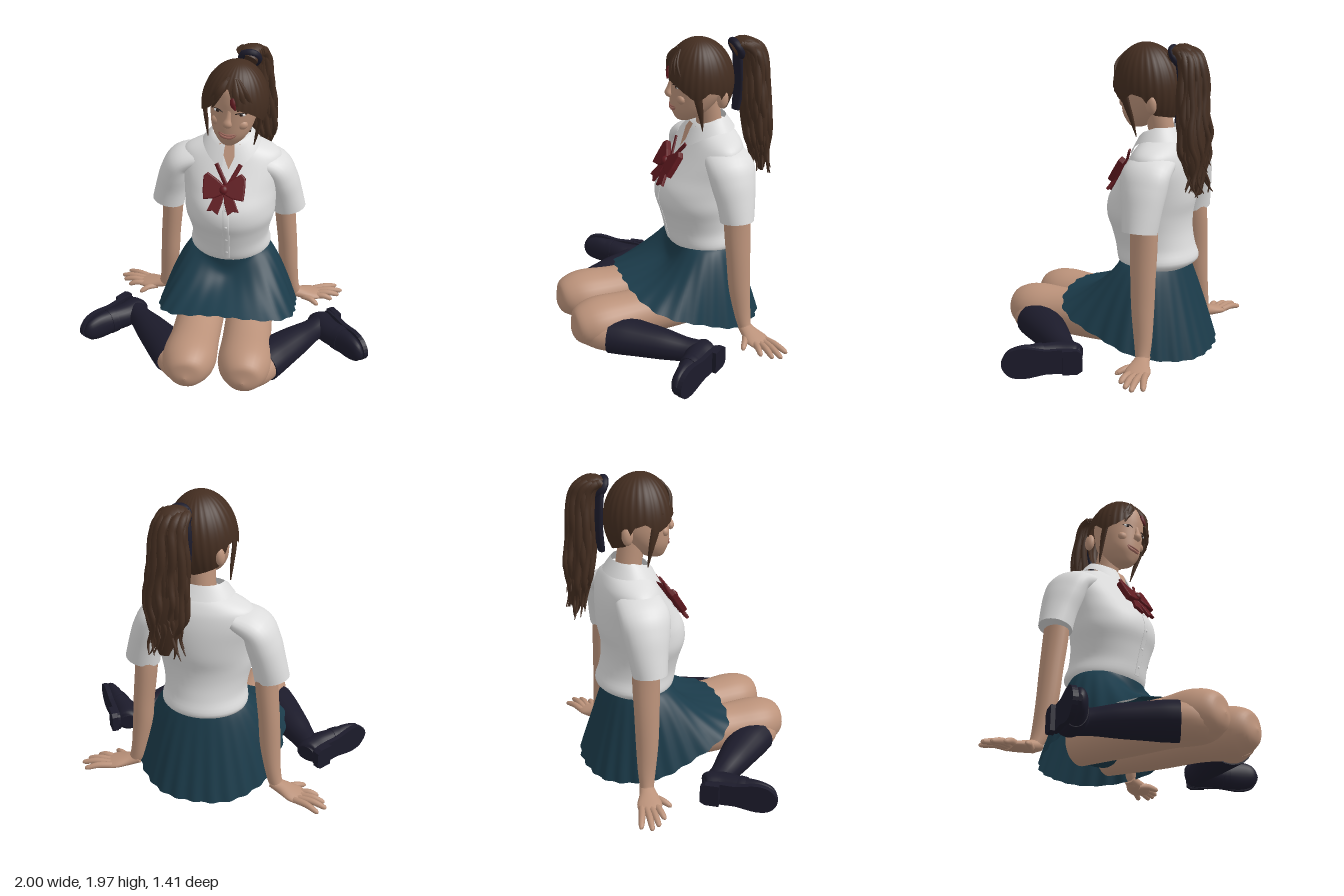
import * as THREE from 'three';

const mat = (name, color, side = THREE.FrontSide) => {
  const m = new THREE.MeshStandardMaterial({ color, side });
  m.name = name;
  return m;
};
const V = (x, y, z) => new THREE.Vector3(x, y, z);

// Catmull-Rom interpolation through equally long rows of numbers, t in 0..1
function sample(rows, t) {
  const f = t * (rows.length - 1), i = Math.min(Math.floor(f), rows.length - 2), u = f - i;
  const row = (k) => rows[Math.max(0, Math.min(rows.length - 1, k))];
  const [a, b, c, d] = [row(i - 1), row(i), row(i + 1), row(i + 2)];
  return b.map((p, k) => p + 0.5 * u * (c[k] - a[k]
    + u * (2 * a[k] - 5 * p + 4 * c[k] - d[k] + u * (3 * (p - c[k]) + d[k] - a[k]))));
}

// Skin a list of point rings; optionally wrap around and cap both ends
function loft(rings, wrap = true, caps = true) {
  const n = rings[0].length, pos = [], idx = [];
  rings.forEach((r) => r.forEach((p) => pos.push(p.x, p.y, p.z)));
  for (let i = 0; i < rings.length - 1; i++) {
    for (let j = 0; j < (wrap ? n : n - 1); j++) {
      const a = i * n + j, b = i * n + (j + 1) % n;
      idx.push(a, b, a + n, b, b + n, a + n);
    }
  }
  if (caps) [rings[0], rings[rings.length - 1]].forEach((r, end) => {
    const base = pos.length / 3, c = V(0, 0, 0);
    r.forEach((p) => { c.addScaledVector(p, 1 / n); pos.push(p.x, p.y, p.z); });
    pos.push(c.x, c.y, c.z);
    for (let j = 0; j < n; j++) {
      const a = base + j, b = base + (j + 1) % n;
      idx.push(...(end ? [a, b, base + n] : [b, a, base + n]));
    }
  });
  const g = new THREE.BufferGeometry();
  g.setAttribute('position', new THREE.Float32BufferAttribute(pos, 3));
  g.setIndex(idx);
  g.computeVertexNormals();
  return g;
}

// Horizontal rings, bottom up: [y, halfWidth, zFront, zBack]
function body(rows, steps = 40, n = 40) {
  return loft(Array.from({ length: steps + 1 }, (_, i) => {
    const [y, rx, f, b] = sample(rows, i / steps);
    return Array.from({ length: n }, (_, j) => {
      const a = j / n * Math.PI * 2;
      return V(rx * Math.sin(a), y, (f + b) / 2 + (f - b) / 2 * Math.cos(a));
    });
  }));
}

// Tapered limb along [x, y, z, radiusA, radiusB = radiusA]; ref x tangent is the A direction
function limb(points, ref = V(0, 1, 0), n = 20, steps = (points.length - 1) * 5) {
  const rows = points.map(([x, y, z, a, b = a]) => [x, y, z, a, b]);
  const at = (t) => V(...sample(rows, Math.max(0, Math.min(1, t))));
  return loft(Array.from({ length: steps + 1 }, (_, i) => {
    const t = i / steps, [x, y, z, ra, rb] = sample(rows, t);
    const T = at(t + 0.01).sub(at(t - 0.01)).normalize();
    const N = ref.clone().cross(T).normalize(), B = T.clone().cross(N);
    return Array.from({ length: n }, (_, j) => {
      const a = j / n * Math.PI * 2;
      return V(x, y, z).addScaledVector(N, ra * Math.cos(a)).addScaledVector(B, rb * Math.sin(a));
    });
  }));
}

// Copy across x = 0 with the corner order restored
function mirrored(geo) {
  const g = geo.index ? geo.toNonIndexed() : geo.clone();
  g.scale(-1, 1, 1);
  g.setIndex(Array.from({ length: g.attributes.position.count }, (_, i) => i - i % 3 + [0, 2, 1][i % 3]));
  return g;
}
const ball = (x, y, z, a, b, c) => new THREE.SphereGeometry(1, 20, 14).scale(a, b, c).translate(x, y, z);
const plate = (pts, depth, bevel = 0) => new THREE.ExtrudeGeometry(
  new THREE.Shape(pts.map((p) => new THREE.Vector2(...p))),
  { depth, bevelEnabled: bevel > 0, bevelSize: bevel, bevelThickness: bevel, bevelSegments: 2 });

export function createModel() {
  const root = new THREE.Group();
  root.name = 'seatedStudent';
  const skin = mat('skin', 0xbb927a), hair = mat('brown hair', 0x432d20, THREE.DoubleSide);
  const shirt = mat('white cotton', 0xdcdcdc, THREE.DoubleSide), teal = mat('teal skirt', 0x1b3b4a, THREE.DoubleSide);
  const navy = mat('dark navy', 0x1c1b2b), red = mat('dark red', 0x60191f);
  const lip = mat('lip', 0xa0685c), dark = mat('eye dark', 0x2a1e1a);
  const add = (name, geo, m, parent = root) => {
    const mesh = new THREE.Mesh(geo, m);
    mesh.name = name;
    parent.add(mesh);
  };
  const pair = (name, geo, m, parent = root) => {
    add('left' + name, geo, m, parent);
    add('right' + name, mirrored(geo), m, parent);
  };
  const X = V(1, 0, 0), up = V(0, 1, 0), Z = V(0, 0, 1);

  // Shirt: torso, sleeves, collar, placket and buttons
  const torso = [[0.56, 0.25, -0.07, -0.49], [0.61, 0.28, -0.04, -0.555], [0.7, 0.265, -0.02, -0.53],
    [0.8, 0.28, 0.005, -0.51], [0.9, 0.305, 0.035, -0.51], [1, 0.31, 0.025, -0.53], [1.1, 0.32, -0.035, -0.535],
    [1.2, 0.34, -0.1, -0.53], [1.28, 0.335, -0.15, -0.515], [1.33, 0.29, -0.18, -0.495],
    [1.38, 0.18, -0.21, -0.46], [1.41, 0.09, -0.24, -0.41]];
  add('shirtBody', body(torso, 48), shirt);
  const arms = new THREE.Group();
  arms.name = 'arms';
  arms.position.x = -0.025;
  root.add(arms);
  pair('Sleeve', limb([[0.2, 1.255, -0.34, 0.07, 0.15], [0.32, 1.2, -0.345, 0.095, 0.16],
    [0.365, 1.1, -0.35, 0.108, 0.148], [0.4, 0.98, -0.355, 0.108, 0.125], [0.425, 0.86, -0.355, 0.112, 0.108]], Z, 28), shirt, arms);
  const collarRow = (rx, rz, y) => Array.from({ length: 41 }, (_, j) => {
    const a = 0.22 + j / 40 * (Math.PI * 2 - 0.44), c = Math.cos(a);
    return V(rx * Math.sin(a), y(c), -0.33 + rz * c * (c < 0 ? 0.7 : 1));
  });
  add('collar', loft([collarRow(0.195, 0.215, (c) => 1.385 - 0.12 * Math.max(0, c) ** 2),
    collarRow(0.155, 0.16, (c) => 1.44 - 0.06 * Math.max(0, c) ** 2),
    collarRow(0.13, 0.135, (c) => 1.465 - 0.05 * Math.max(0, c))], false, false), shirt);
  const front = (t, d) => { const [y, , z] = sample(torso, t); return [0, y, z + d]; };
  add('placket', limb(Array.from({ length: 9 }, (_, i) => [...front(0.09 + i * 0.07, 0), 0.022, 0.004]), Z, 12), shirt);
  for (let i = 0; i < 4; i++) add('button', ball(...front(0.15 + i * 0.11, 0.004), 0.01, 0.01, 0.004), shirt);

  // Neck and open throat
  add('neck', limb([[0, 1.25, -0.33, 0.09], [0.005, 1.4, -0.32, 0.083], [0.02, 1.6, -0.28, 0.085]], Z), skin);
  const throat = new THREE.BufferGeometry().setFromPoints([V(-0.07, 1.41, -0.2), V(0, 1.26, -0.12), V(0.07, 1.41, -0.2)]);
  throat.computeVertexNormals();
  add('throat', throat, skin);

  // Bow tie
  const bow = new THREE.Group();
  bow.name = 'bow';
  bow.position.set(-0.02, 1.15, -0.045);
  bow.rotation.x = -0.55;
  root.add(bow);
  pair('BowLoop', plate([[0, 0.02], [0.05, 0.06], [0.11, 0.1], [0.13, 0.08], [0.13, 0], [0.125, -0.06],
    [0.06, -0.05], [0, -0.02]], 0.025, 0.008), red, bow);
  pair('BowTail', plate([[0, 0], [0.01, -0.08], [0.035, -0.16], [0.065, -0.135], [0.1, -0.14], [0.06, -0.05]], 0.012, 0.005), red, bow);
  add('bowKnot', ball(0, 0, 0.03, 0.028, 0.03, 0.022), red, bow);
  pair('BowStrap', limb([[0.01, 1.18, -0.06, 0.015, 0.008], [0.08, 1.3, -0.125, 0.015, 0.008]], Z, 10), red);

  // Arms and hands planted behind
  pair('Arm', limb([[0.39, 1.1, -0.36, 0.075, 0.08], [0.395, 0.85, -0.37, 0.072, 0.088], [0.42, 0.58, -0.378, 0.068, 0.08],
    [0.435, 0.38, -0.385, 0.066, 0.072], [0.46, 0.2, -0.4, 0.052, 0.058], [0.485, 0.1, -0.41, 0.045], [0.525, 0.06, -0.42, 0.035]], Z), skin, arms);
  pair('Palm', limb([[0.46, 0.09, -0.41, 0.04, 0.035], [0.53, 0.07, -0.42, 0.055, 0.038],
    [0.61, 0.055, -0.44, 0.078, 0.03], [0.67, 0.045, -0.46, 0.07, 0.022]]), skin, arms);
  [[0.63, -0.5, 0.8, -0.56], [0.65, -0.475, 0.84, -0.505], [0.66, -0.445, 0.82, -0.455],
    [0.65, -0.41, 0.77, -0.4], [0.55, -0.39, 0.67, -0.325]].forEach(([x, z, ex, ez], i) => {
    pair(i < 4 ? 'Finger' : 'Thumb', limb([[x, 0.05, z, 0.021], [(x + ex) / 2, 0.055, (z + ez) / 2, 0.021],
      [ex - 0.015, 0.04, ez, 0.016], [ex, 0.036, ez, 0.005]], up, 10), skin, arms);
  });

  // Pleated skirt: upright at the waist, spread over the thighs, on the ground at the back
  const skirtRows = Array.from({ length: 19 }, (_, i) => {
    const f = (1 - i / 18) ** 2;
    return Array.from({ length: 192 }, (_, j) => {
      const a = j / 192 * Math.PI * 2, c = Math.cos(a), s = Math.sin(a);
      const pleat = 1 + f * 0.014 * Math.sin(a * 26) + f * 0.01 * Math.sin(a * 7 + 1);
      const square = c > 0 ? 1 + 0.55 * f * c * c * s * s : 1;
      const k = c > 0 ? 1.5 - 1.28 * c * c : 1.5 - 0.4 * c * c;
      const hem = 0.02 + 0.34 * ((1 + c) / 2) ** 1.5;
      return V(s * (0.265 + 0.22 * f) * pleat * square, 0.6 - (0.6 - hem) * f ** k,
        -0.265 + 0.075 * f + c * (0.21 + 0.27 * f) * pleat * square);
    });
  });
  add('skirt', loft(skirtRows, true, false), teal);
  add('skirtLining', ball(0, 0.23, -0.32, 0.25, 0.17, 0.18), teal);

  // Folded legs and knee socks
  pair('Thigh', limb([[0.14, 0.18, -0.38, 0.13, 0.14], [0.165, 0.185, 0, 0.158, 0.155], [0.175, 0.18, 0.3, 0.165, 0.15],
    [0.185, 0.175, 0.5, 0.18, 0.162], [0.187, 0.17, 0.61, 0.155, 0.145], [0.187, 0.16, 0.68, 0.1, 0.095],
    [0.187, 0.16, 0.71, 0.008]], up, 28), skin);
  pair('Knee', limb([[0.19, 0.135, 0.57, 0.12, 0.115], [0.25, 0.135, 0.51, 0.135, 0.117], [0.32, 0.13, 0.42, 0.132, 0.112]]), skin);
  pair('Sock', limb([[0.29, 0.13, 0.465, 0.142, 0.12], [0.345, 0.13, 0.39, 0.14, 0.118], [0.41, 0.128, 0.31, 0.128, 0.11],
    [0.51, 0.123, 0.19, 0.105, 0.098], [0.6, 0.115, 0.08, 0.08, 0.08], [0.66, 0.11, 0, 0.075, 0.075], [0.7, 0.11, -0.05, 0.05]]), navy);

  // Loafers lying on their sides, soles turned outward
  const toe = V(0.58, 0, 0.81).normalize();
  const toWorld = new THREE.Matrix4().makeBasis(toe, up, toe.clone().cross(up)).setPosition(0.703, 0.11, -0.118);
  const shoe = (name, geo) => pair(name, geo.applyMatrix4(toWorld), navy);
  shoe('ShoeUpper', limb([[0, 0, 0.07, 0.06, 0.05], [0.03, 0, 0.078, 0.085, 0.078], [0.13, 0, 0.085, 0.085, 0.085],
    [0.25, 0, 0.06, 0.07, 0.09], [0.36, 0, 0.045, 0.055, 0.094], [0.44, 0, 0.035, 0.04, 0.07], [0.475, 0, 0.025, 0.012, 0.02]], up, 24));
  shoe('ShoeStrap', limb([[0.23, 0, 0.064, 0.079, 0.094], [0.25, 0, 0.06, 0.076, 0.096], [0.28, 0, 0.056, 0.071, 0.096]], up, 24));
  const outline = new THREE.SplineCurve([[0, 0], [0.02, 0.06], [0.12, 0.075], [0.22, 0.075], [0.35, 0.098], [0.44, 0.075], [0.485, 0],
    [0.44, -0.075], [0.35, -0.095], [0.22, -0.075], [0.12, -0.075], [0.02, -0.06], [0, 0]].map((p) => new THREE.Vector2(...p)));
  const solePts = outline.getPoints(48).slice(0, -1).map((p) => [p.x, p.y]);
  shoe('ShoeSole', plate(solePts, 0.032).translate(0, 0, -0.018));
  shoe('ShoeHeel', plate([[0, -0.055], [0.03, -0.075], [0.12, -0.075], [0.12, 0.075], [0.03, 0.075], [0, 0.055]], 0.04).translate(0, 0, -0.045));

  // Head with face
  const head = new THREE.Group();
  head.name = 'head';
  head.position.set(0.03, 1.7, -0.22);
  head.rotation.set(0, -0.12, -0.1);
  root.add(head);
  const skull = [[-0.255, 0.02, 0.11, 0.05], [-0.245, 0.05, 0.13, 0.02], [-0.215, 0.085, 0.148, -0.04], [-0.16, 0.122, 0.168, -0.1],
    [-0.08, 0.145, 0.174, -0.16], [0, 0.154, 0.176, -0.18], [0.08, 0.157, 0.18, -0.2], [0.16, 0.145, 0.168, -0.18],
    [0.22, 0.1, 0.11, -0.14], [0.25, 0.03, 0.02, -0.05]];
  add('face', body(skull), skin, head);
  add('nose', limb([[0, 0.02, 0.168, 0.014, 0.012], [0, -0.03, 0.18, 0.018, 0.016], [0, -0.065, 0.186, 0.03, 0.023],
    [0, -0.085, 0.172, 0.022, 0.014]], Z, 14), skin, head);
  pair('Ear', ball(0.155, -0.07, -0.125, 0.03, 0.062, 0.036), skin, head);
  pair('EyeWhite', ball(0.068, 0.002, 0.154, 0.026, 0.009, 0.009).rotateY(0.06), shirt, head);
  pair('Iris', ball(0.066, 0.002, 0.159, 0.012, 0.01, 0.008).rotateY(0.06), dark, head);
  pair('EyeLash', limb([[0.04, 0.004, 0.17, 0.003], [0.07, 0.014, 0.16, 0.004], [0.103, 0.004, 0.134, 0.003]], up, 8), dark, head);
  pair('Cheek', ball(0.075, -0.08, 0.122, 0.045, 0.035, 0.03), skin, head);
  [['upperLip', -0.152, 0.007], ['lowerLip', -0.17, 0.01]].forEach(([name, y, r]) => add(name,
    limb([[-0.068, -0.137, 0.143, 0.003], [-0.035, y + 0.005, 0.16, 0.008, r], [0, y, 0.165, 0.01, r],
      [0.035, y + 0.005, 0.16, 0.008, r], [0.068, -0.137, 0.143, 0.003]], up, 12), lip, head));

  // Hair cap with a parted fringe; lower edge keyed by degrees around the head
  const edge = [[-180, -0.18], [-130, -0.14], [-112, -0.02], [-95, 0], [-75, -0.06], [-50, -0.02], [-34, 0.03], [-8, 0.17],
    [14, 0.05], [35, 0.03], [55, -0.01], [75, -0.06], [95, 0], [112, -0.02], [130, -0.14], [180, -0.18]];
  const edgeY = (deg) => {
    const i = Math.max(1, edge.findIndex((e) => e[0] >= deg)), [a, ya] = edge[i - 1], [b, yb] = edge[i];
    return ya + (yb - ya) * (deg - a) / (b - a);
  };
  const capRows = Array.from({ length: 21 }, (_, i) => Array.from({ length: 120 }, (_, j) => {
    const deg = -180 + j * 3, a = deg * Math.PI / 180, low = edgeY(deg);
    const y = low + (0.285 - low) * Math.sin(i / 20 * Math.PI / 2);
    const r = (y > 0 ? Math.sqrt(Math.max(0, 1 - (y / 0.285) ** 2)) : 1 - 6 * y * y) * (1 + 0.01 * Math.sin(a * 30));
    return V(0.213 * Math.sin(a) * r, y, (Math.cos(a) > 0 ? 0.21 : 0.235) * Math.cos(a) * r);
  }));
  add('hairCap', loft(capRows, true, false), hair, head);
  pair('SideLock', limb([[0.18, 0.06, 0.07, 0.012, 0.03], [0.182, -0.06, 0.04, 0.012, 0.026], [0.168, -0.17, 0.015, 0.012, 0.016],
    [0.155, -0.28, -0.005, 0.003]], Z, 10), hair, head);
  [[-0.02, -0.15, 0.0], [-0.03, -0.11, 0.02], [0, 0.06, 0.04], [0.01, 0.11, 0.02], [0.02, 0.16, 0]].forEach(([x, ex, ey]) => {
    add('fringeLock', limb([[x, 0.22, 0.125, 0.015, 0.008], [(x + ex) / 2, 0.14, 0.185 - ex * ex, 0.024, 0.01],
      [ex, ey, 0.205 - 3.6 * ex * ex, 0.006]], Z, 10), hair, head);
  });
  add('hairClip', limb([[0.015, 0.12, 0.19, 0.012, 0.01], [0.025, 0.085, 0.202, 0.018, 0.009], [0.045, 0.05, 0.206, 0.005]], Z, 10), red, head);

  // Ponytail: a broad core wrapped in wavy strands, tied with a ribbon
  const tail = [[0.09, 1.9, -0.43, 0.05, 0.06], [0.11, 1.94, -0.5, 0.045, 0.075], [0.13, 1.87, -0.565, 0.06, 0.09],
    [0.14, 1.65, -0.58, 0.07, 0.115], [0.15, 1.42, -0.595, 0.08, 0.13], [0.15, 1.24, -0.615, 0.055, 0.1], [0.15, 1.08, -0.635, 0.012, 0.03]];
  add('ponytailCore', limb(tail, X), hair);
  for (let i = 0; i < 34; i++) {
    const a = i * 2.4, spread = 0.72 + 0.4 * ((i * 7) % 5) / 5, end = 0.82 + 0.18 * ((i * 11) % 7) / 6;
    const rows = Array.from({ length: 12 }, (_, k) => {
      const t = k / 11, [x, y, z, rz, rx] = sample(tail, 0.16 + t * (end - 0.16));
      const w = 0.018 * t * Math.sin(t * 20 + i * 1.3);
      return [x + Math.cos(a) * Math.max(rx, 0.115 * t) * spread + w, y,
        z + Math.sin(a) * Math.max(rz, 0.06 * t) * spread + w * 0.7, 0.024 * (1 - t ** 3) + 0.003];
    });
    add('ponytailStrand', limb(rows, X, 8, 33), hair);
  }
  add('hairTie', new THREE.TorusGeometry(0.055, 0.024, 10, 24).rotateX(0.5).translate(0.1, 1.905, -0.455), navy);
  add('hairRibbon', limb([[0.09, 1.95, -0.45, 0.05, 0.022], [0.075, 1.8, -0.478, 0.06, 0.025], [0.08, 1.65, -0.485, 0.06, 0.028],
    [0.09, 1.5, -0.465, 0.04, 0.022]], Z, 12), navy);

  return root;
}
